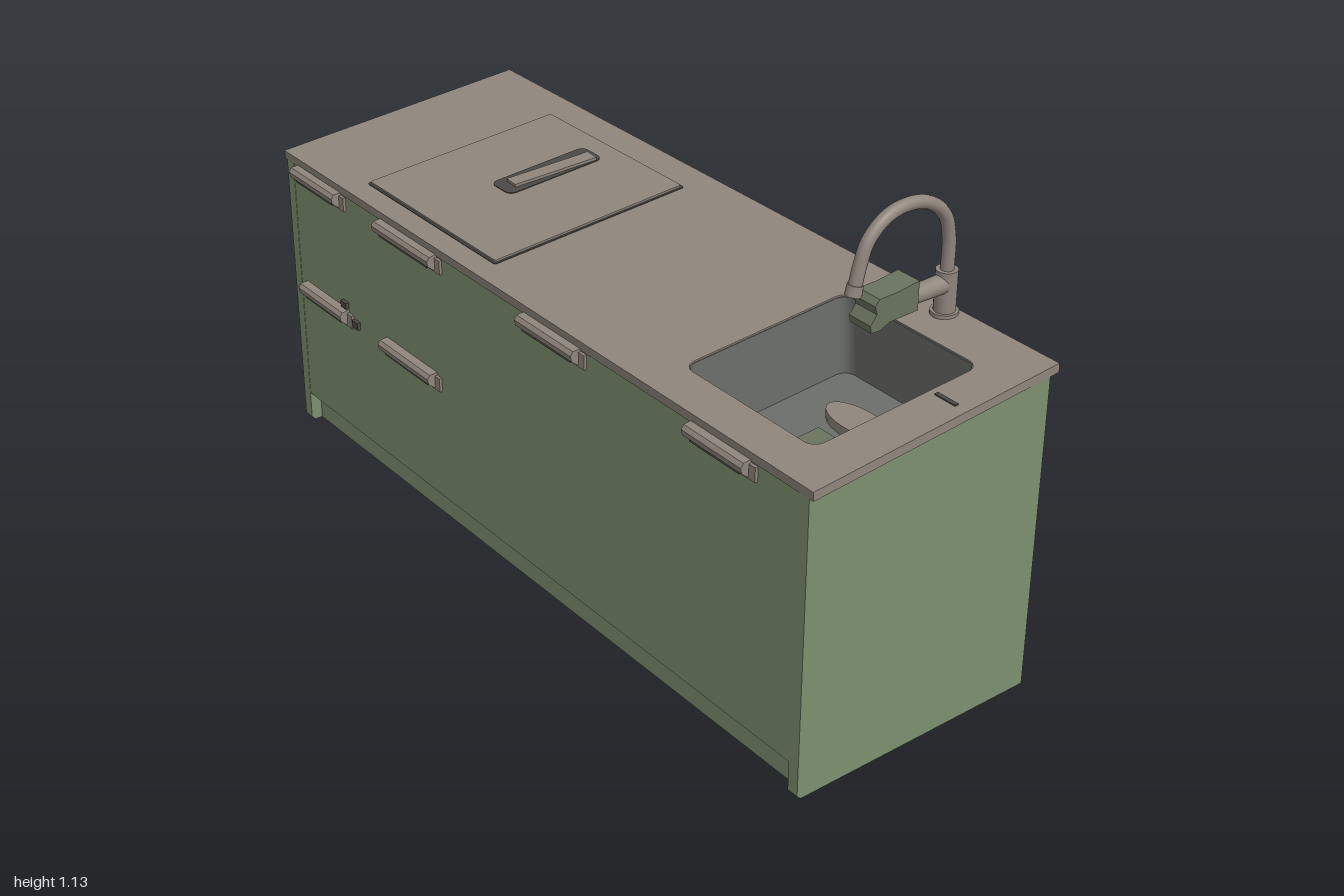
import * as THREE from 'three';

const mat = (name, color) => {
  const m = new THREE.MeshStandardMaterial({ color });
  m.name = name;
  return m;
};

export function createModel() {
  const model = new THREE.Group();
  model.name = 'kitchenIsland';
  const green = mat('sage green', 0x7c8f6e);
  const stone = mat('warm grey', 0x8f857c);
  const steel = mat('sink grey', 0x6c6f69);
  const dark = mat('dark grey', 0x4c4a45);
  const olive = mat('grey green', 0x69735f);

  const add = (parent, name, geo, material, x = 0, y = 0, z = 0) => {
    const mesh = new THREE.Mesh(geo, material);
    mesh.name = name;
    mesh.position.set(x, y, z);
    parent.add(mesh);
    return mesh;
  };
  // box from its limits
  const box = (parent, name, material, x0, x1, y0, y1, z0, z1) =>
    add(parent, name, new THREE.BoxGeometry(x1 - x0, y1 - y0, z1 - z0), material,
      (x0 + x1) / 2, (y0 + y1) / 2, (z0 + z1) / 2);
  // (z, y) outline extruded along x, centred
  const sideProfile = (pts, width) => {
    const shape = new THREE.Shape(pts.map(p => new THREE.Vector2(...p)));
    return new THREE.ExtrudeGeometry(shape, { depth: width, bevelEnabled: false })
      .translate(0, 0, -width / 2).rotateY(-Math.PI / 2);
  };
  // rounded rectangle in (x, z)
  const rounded = (Type, x0, x1, z0, z1, r) => {
    const s = new Type();
    s.absarc(x1 - r, z1 - r, r, 0, Math.PI / 2);
    s.absarc(x0 + r, z1 - r, r, Math.PI / 2, Math.PI);
    s.absarc(x0 + r, z0 + r, r, Math.PI, Math.PI * 1.5);
    s.absarc(x1 - r, z0 + r, r, Math.PI * 1.5, Math.PI * 2);
    s.closePath();
    return s;
  };
  // flat plate hanging down from y = 0
  const plate = (shape, depth) =>
    new THREE.ExtrudeGeometry(shape, { depth, bevelEnabled: false, curveSegments: 6 })
      .rotateX(Math.PI / 2);

  // cabinet carcass with sloping side panels
  const cabinet = new THREE.Group();
  cabinet.name = 'cabinet';
  model.add(cabinet);
  const side = [[-0.33, 0.008], [0.32, 0.008], [0.33, 0.018], [0.33, 0.758], [-0.33, 0.797]];
  for (const x of [-0.978, 0.97]) add(cabinet, 'sidePanel', sideProfile(side, 0.03), green, x);
  box(cabinet, 'frontPanel', green, -0.97, 0.96, 0.09, 0.757, 0.29, 0.329);
  box(cabinet, 'backPanel', green, -0.97, 0.96, 0.008, 0.795, -0.329, -0.3);
  box(cabinet, 'toeKick', green, -0.97, 0.96, 0.008, 0.1, 0.27, 0.3);
  box(cabinet, 'floorPanel', green, -0.97, 0.96, 0.09, 0.11, -0.31, 0.28);
  for (const x of [-0.66, -0.12, 0.43])
    box(cabinet, 'baseDivider', green, x - 0.02, x + 0.02, 0, 0.095, -0.31, 0.28);

  // drawer and door pulls
  const pull = [[0.325, 0.02], [0.35, 0.018], [0.357, 0.008], [0.354, -0.006], [0.34, -0.018], [0.325, -0.02]];
  for (const [x, y, w] of [[-0.84, 0.737, 0.2], [-0.44, 0.737, 0.24], [0.135, 0.737, 0.21],
    [0.715, 0.737, 0.19], [-0.835, 0.415, 0.2], [-0.45, 0.415, 0.22]]) {
    const handle = new THREE.Group();
    handle.name = 'pullHandle';
    handle.position.set(x, y, 0);
    model.add(handle);
    add(handle, 'pullGrip', sideProfile(pull, w), stone);
    box(handle, 'pullBacking', stone, -w / 2 + 0.03, w / 2 + 0.02, -0.024, 0.012, 0.32, 0.336);
    box(handle, 'pullShadowGap', dark, -w / 2 + 0.01, w / 2 - 0.02, -0.02, -0.014, 0.33, 0.344);
  }
  box(model, 'latchKnob', dark, -0.76, -0.735, 0.438, 0.455, 0.32, 0.338);
  box(model, 'latchKnob', dark, -0.71, -0.685, 0.4, 0.42, 0.32, 0.338);

  // sloping worktop with sink opening
  const top = new THREE.Group();
  top.name = 'worktop';
  top.position.set(0, 0.796, 0);
  top.rotation.x = 0.063;
  model.add(top);
  const slab = new THREE.Shape([[-1, -0.355], [0.985, -0.355], [0.998, 0.333], [-1, 0.333]]
    .map(p => new THREE.Vector2(...p)));
  slab.holes.push(rounded(THREE.Path, 0.468, 0.882, -0.225, 0.23, 0.03));
  add(top, 'counterSlab', plate(slab, 0.022), stone);

  // sink bowl
  const bowl = rounded(THREE.Shape, 0.455, 0.895, -0.238, 0.243, 0.04);
  bowl.holes.push(rounded(THREE.Path, 0.47, 0.88, -0.223, 0.228, 0.03));
  add(top, 'sinkWall', plate(bowl, 0.2), steel, 0, -0.004, 0);
  add(top, 'sinkFloor', plate(rounded(THREE.Shape, 0.455, 0.895, -0.238, 0.243, 0.04), 0.012), steel, 0, -0.2, 0);
  const ledge = add(top, 'sinkLedge', new THREE.CylinderGeometry(0.09, 0.09, 0.03, 24), stone, 0.665, -0.19, -0.08);
  ledge.scale.z = 0.45;
  box(top, 'drainCover', olive, 0.62, 0.71, -0.2, -0.185, -0.01, 0.065);

  // lift-off hob cover with recessed grip
  add(top, 'hobCoverSeam', plate(rounded(THREE.Shape, -0.7, -0.16, -0.274, 0.276, 0.006), 0.004), dark, 0, 0.002, 0);
  add(top, 'hobCover', plate(rounded(THREE.Shape, -0.695, -0.165, -0.269, 0.271, 0.006), 0.008), stone, 0, 0.007, 0);
  add(top, 'gripRecess', plate(rounded(THREE.Shape, -0.485, -0.403, -0.215, 0.062, 0.02), 0.004), dark, 0, 0.009, 0);
  const grip = box(top, 'gripBar', stone, -0.455, -0.415, 0.008, 0.016, -0.2, 0.03);
  grip.rotation.y = -0.08;
  box(top, 'counterSlot', dark, 0.9, 0.96, -0.002, 0.003, -0.09, -0.08);

  // tap: base, gooseneck spout, arm and lever head
  const tap = new THREE.Group();
  tap.name = 'tap';
  tap.position.x = 0.675;
  model.add(tap);
  add(tap, 'tapFlange', new THREE.CylinderGeometry(0.032, 0.032, 0.016, 24), stone, 0, 0.816, -0.323);
  add(tap, 'tapBody', new THREE.CylinderGeometry(0.025, 0.025, 0.11, 24), stone, 0, 0.867, -0.323);
  const neck = new THREE.CatmullRomCurve3([[0.91, -0.323], [1.0, -0.322], [1.055, -0.305], [1.095, -0.262],
    [1.112, -0.2], [1.1, -0.135], [1.06, -0.087], [1.005, -0.066], [0.96, -0.055]]
    .map(([y, z]) => new THREE.Vector3(0, y, z)));
  add(tap, 'spout', new THREE.TubeGeometry(neck, 48, 0.0155, 14), stone);
  const nozzle = add(tap, 'nozzle', new THREE.CylinderGeometry(0.018, 0.019, 0.025, 18), stone, 0, 0.957, -0.0545);
  nozzle.rotation.x = -0.2;
  const arm = add(tap, 'tapArm', new THREE.CylinderGeometry(0.019, 0.023, 0.2, 18), stone, 0, 0.89, -0.22);
  arm.rotation.x = Math.PI / 2;
  const lever = [[-0.21, 0.872], [-0.21, 0.942], [-0.15, 0.935], [-0.098, 0.934], [-0.086, 0.92],
    [-0.092, 0.9], [-0.075, 0.878], [-0.078, 0.86], [-0.1, 0.858], [-0.13, 0.87]];
  add(tap, 'leverHead', sideProfile(lever, 0.066), olive);

  // small bracket behind the tap
  box(model, 'rearBracket', stone, 0.645, 0.715, 0.752, 0.774, -0.35, -0.325);
  return model;
}
